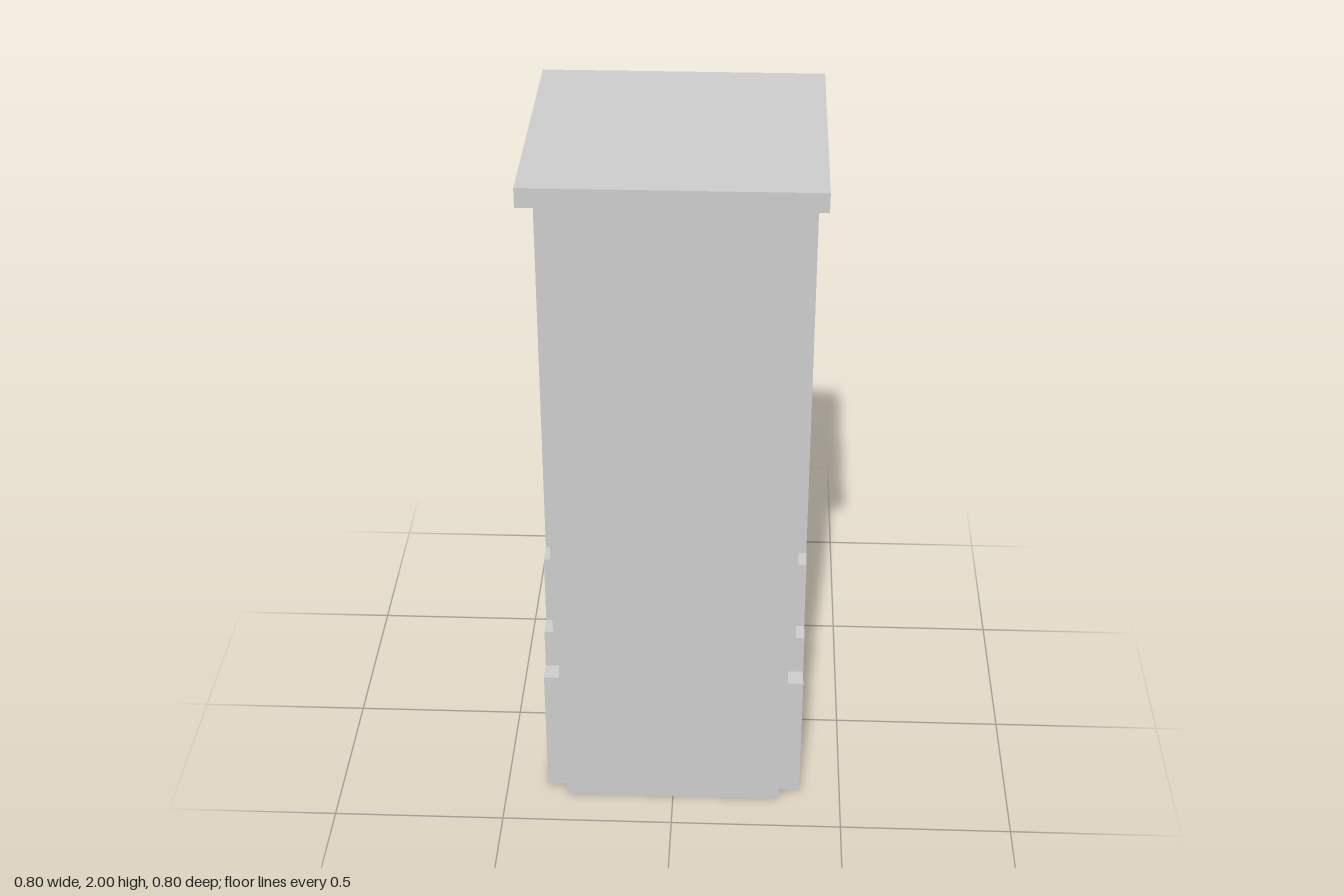
import * as THREE from 'three';

const TOP = 1.945; // underside of the cap

function shapeFrom(points) {
  return new THREE.Shape(points.map(([x, y]) => new THREE.Vector2(x, y)));
}

// Completes a half outline by mirroring it across the vertical axis
function mirrored(half) {
  return shapeFrom([...half, ...half.slice().reverse().map(([x, y]) => [-x, y])]);
}

function extrude(shape, depth) {
  return new THREE.ExtrudeGeometry(shape, { depth, bevelEnabled: false });
}

export function createModel() {
  const model = new THREE.Group();
  model.name = 'pillar';
  const material = new THREE.MeshStandardMaterial({ color: 0xcccccc });

  function add(parent, name, geometry) {
    const mesh = new THREE.Mesh(geometry, material);
    mesh.name = name;
    parent.add(mesh);
    return mesh;
  }

  // Shaft with notched corners
  const shaft = mirrored([
    [0.318, -0.38], [0.318, -0.337], [0.335, -0.337],
    [0.335, 0.337], [0.318, 0.337], [0.318, 0.38],
  ]);
  add(model, 'shaft', extrude(shaft, TOP).rotateX(-Math.PI / 2));

  // Overhanging square cap
  add(model, 'cap', new THREE.BoxGeometry(0.8, 2 - TOP, 0.8)).position.y = (2 + TOP) / 2;

  // Inner relief layer: wide foot, narrower above
  const inner = mirrored([
    [0.337, 0], [0.337, 0.402], [0.279, 0.402], [0.279, TOP],
  ]);
  // Outer relief layer: stepped sides and a central groove open at the top
  const outer = mirrored([
    [0.337, 0], [0.337, 0.402], [0.279, 0.402], [0.279, 0.525],
    [0.22, 0.525], [0.22, 0.742], [0.158, 0.742], [0.158, TOP],
    [0.06, TOP], [0.06, 0.381],
  ]);

  // Same relief on both sides
  for (const [name, angle] of [['leftRelief', 0], ['rightRelief', Math.PI]]) {
    const side = new THREE.Group();
    side.name = name;
    side.rotation.y = angle;
    add(side, 'innerPanel', extrude(inner, 0.02).rotateY(Math.PI / 2)).position.x = 0.335;
    add(side, 'outerPanel', extrude(outer, 0.025).rotateY(Math.PI / 2)).position.x = 0.355;
    model.add(side);
  }

  return model;
}
